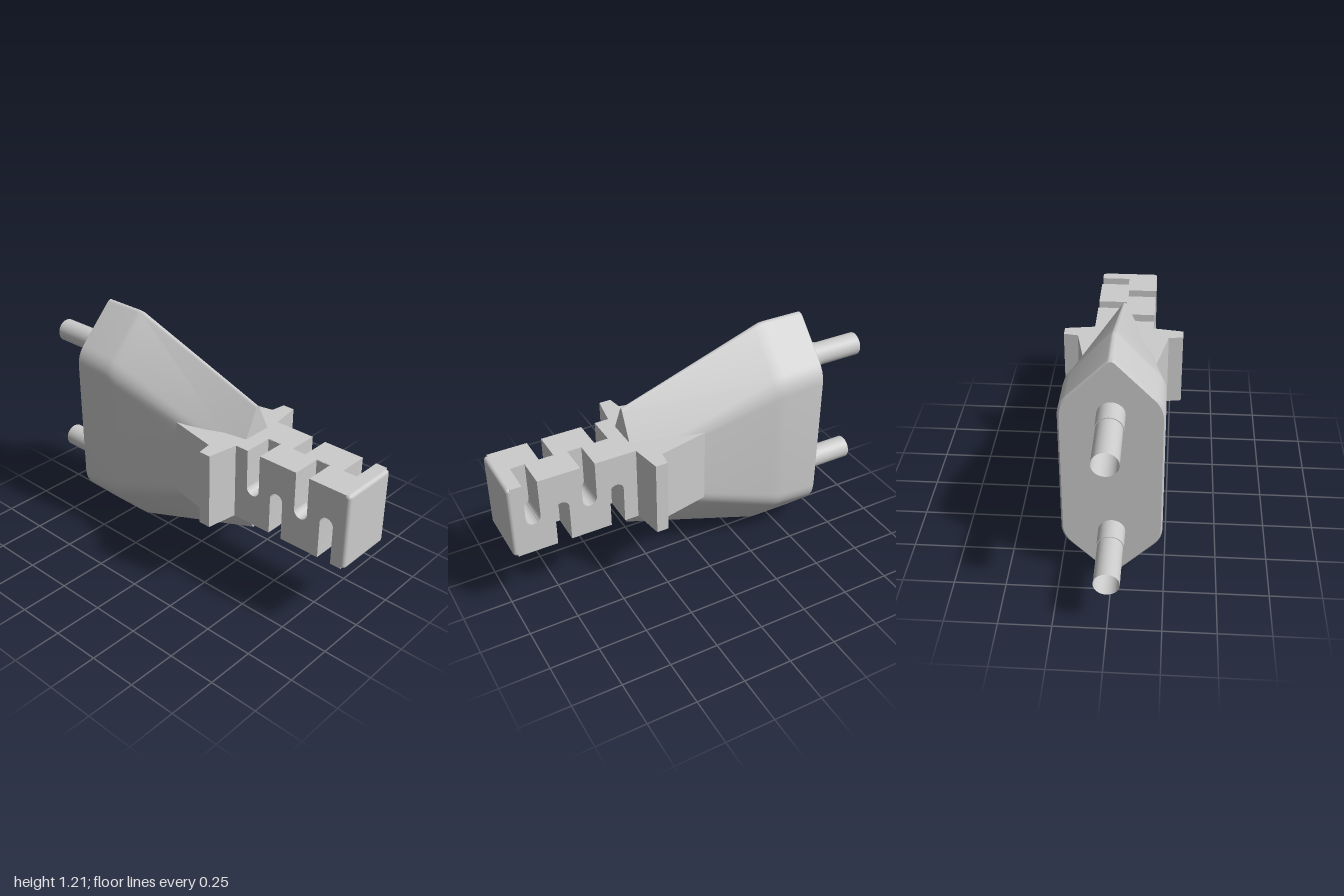
import * as THREE from 'three';
import { toCreasedNormals } from 'three/addons/utils/BufferGeometryUtils.js';
import { RoundedBoxGeometry } from 'three/addons/geometries/RoundedBoxGeometry.js';

const MID = 0.61; // height of the plug's axis

// Rounded hexagon section: tip half-height h, half-depth w, side edge half-height e
function hexSection(x, h, w, e, tipTrim, sideTrim) {
  const corners = [[0, h], [w, e], [w, -e], [0, -h], [-w, -e], [-w, e]]
    .map(([z, y]) => new THREE.Vector2(z, y));
  const ring = [];
  corners.forEach((c, i) => {
    const trim = i % 3 === 0 ? tipTrim : sideTrim;
    const toward = (p) => c.clone().add(p.clone().sub(c).setLength(trim));
    const curve = new THREE.QuadraticBezierCurve(
      toward(corners[(i + 5) % 6]), c, toward(corners[(i + 1) % 6]));
    for (const p of curve.getPoints(6)) ring.push([x, MID + p.y, p.x]);
  });
  return ring;
}

// Skin a list of equal-length rings and close both ends
function loft(rings) {
  const n = rings[0].length, last = rings.length - 1;
  const pos = rings.flat(2), index = [];
  for (let i = 0; i < last; i++) {
    for (let j = 0; j < n; j++) {
      const k = (j + 1) % n;
      const a = i * n + j, d = i * n + k, b = a + n, c = d + n;
      index.push(a, d, c, a, c, b);
    }
  }
  const start = rings.length * n, end = start + 1;
  pos.push(rings[0][0][0], MID, 0, rings[last][0][0], MID, 0);
  for (let j = 0; j < n; j++) {
    const k = (j + 1) % n;
    index.push(start, k, j, end, last * n + j, last * n + k);
  }
  const geo = new THREE.BufferGeometry();
  geo.setAttribute('position', new THREE.Float32BufferAttribute(pos, 3));
  geo.setIndex(index);
  return toCreasedNormals(geo, 0.6);
}

// Side outline of half the cable grip, with round-ended slots from above and below
function gripShape(topSlots, bottomSlots) {
  const x0 = 0.3, x1 = 0.98, y0 = 0.415, y1 = 0.805, r = 0.036, depth = 0.23;
  const s = new THREE.Shape();
  s.moveTo(x0, y0);
  for (const x of bottomSlots) {
    s.lineTo(x - r, y0);
    s.lineTo(x - r, y0 + depth - r);
    s.absarc(x, y0 + depth - r, r, Math.PI, 0, true);
    s.lineTo(x + r, y0);
  }
  s.lineTo(x1, y0);
  s.lineTo(x1, y1);
  for (const x of [...topSlots].reverse()) {
    s.lineTo(x + r, y1);
    s.lineTo(x + r, y1 - depth + r);
    s.absarc(x, y1 - depth + r, r, 0, -Math.PI, true);
    s.lineTo(x - r, y1);
  }
  s.lineTo(x0, y1);
  s.closePath();
  return s;
}

export function createModel() {
  const group = new THREE.Group();
  const grey = new THREE.MeshStandardMaterial({ color: 0xcccccc });
  const open = new THREE.MeshStandardMaterial({ color: 0xcccccc, side: THREE.DoubleSide });
  const add = (name, geo, mat = grey) => {
    const mesh = new THREE.Mesh(geo, mat);
    mesh.name = name;
    group.add(mesh);
    return mesh;
  };

  // Tapering plug body
  add('plugBody', loft([
    hexSection(-0.645, 0.604, 0.229, 0.367, 0.025, 0.06),
    hexSection(-0.637, 0.614, 0.237, 0.372, 0.025, 0.06),
    hexSection(-0.43, 0.614, 0.237, 0.36, 0.025, 0.06),
    hexSection(-0.4, 0.612, 0.236, 0.354, 0.025, 0.06),
    hexSection(-0.37, 0.602, 0.232, 0.343, 0.025, 0.06),
    hexSection(0.355, 0.355, 0.13, 0.09, 0.027, 0.03),
  ]));

  // Finger flange, flaring out on both sides
  const flare = [[0, 0.18], [0.26, 0.235], [0.272, 0.31], [0.333, 0.31], [0.357, 0.154]];
  const outline = [...flare, ...flare.map(([x, z]) => [x, -z]).reverse()]
    .map(([x, z]) => new THREE.Vector2(x, z));
  const flange = new THREE.ExtrudeGeometry(new THREE.Shape(outline), { depth: 0.39, bevelEnabled: false });
  flange.rotateX(-Math.PI / 2);
  add('fingerFlange', flange).position.y = 0.415;

  // Cable grip: two slotted halves with staggered slots and a thin web between
  const slotsA = [0.465, 0.745], slotsB = [0.605, 0.888];
  const half = (name, top, bottom, z) => {
    const geo = new THREE.ExtrudeGeometry(gripShape(top, bottom),
      { depth: 0.154, bevelEnabled: false, curveSegments: 16 });
    add(name, toCreasedNormals(geo, 0.6)).position.z = z;
  };
  half('gripFront', slotsA, slotsB, 0);
  half('gripBack', slotsB, slotsA, -0.154);
  add('gripWeb', new THREE.BoxGeometry(0.6, 0.388, 0.006)).position.set(0.66, MID, 0);
  add('gripEnd', new RoundedBoxGeometry(0.05, 0.39, 0.308, 4, 0.018)).position.set(0.975, MID, 0);

  // Two hollow contact pins with slightly thicker sleeves
  for (const [name, y] of [['upper', 0.94], ['lower', 0.28]]) {
    const pin = new THREE.CylinderGeometry(0.06, 0.06, 0.38, 40, 1, true).rotateZ(Math.PI / 2);
    add(name + 'Pin', pin, open).position.set(-0.81, y, 0);
    const sleeve = new THREE.CylinderGeometry(0.064, 0.064, 0.14, 40, 1, true).rotateZ(Math.PI / 2);
    add(name + 'PinSleeve', sleeve, open).position.set(-0.69, y, 0);
    const step = new THREE.RingGeometry(0.06, 0.064, 40).rotateY(-Math.PI / 2);
    add(name + 'PinStep', step, open).position.set(-0.76, y, 0);
  }
  return group;
}
